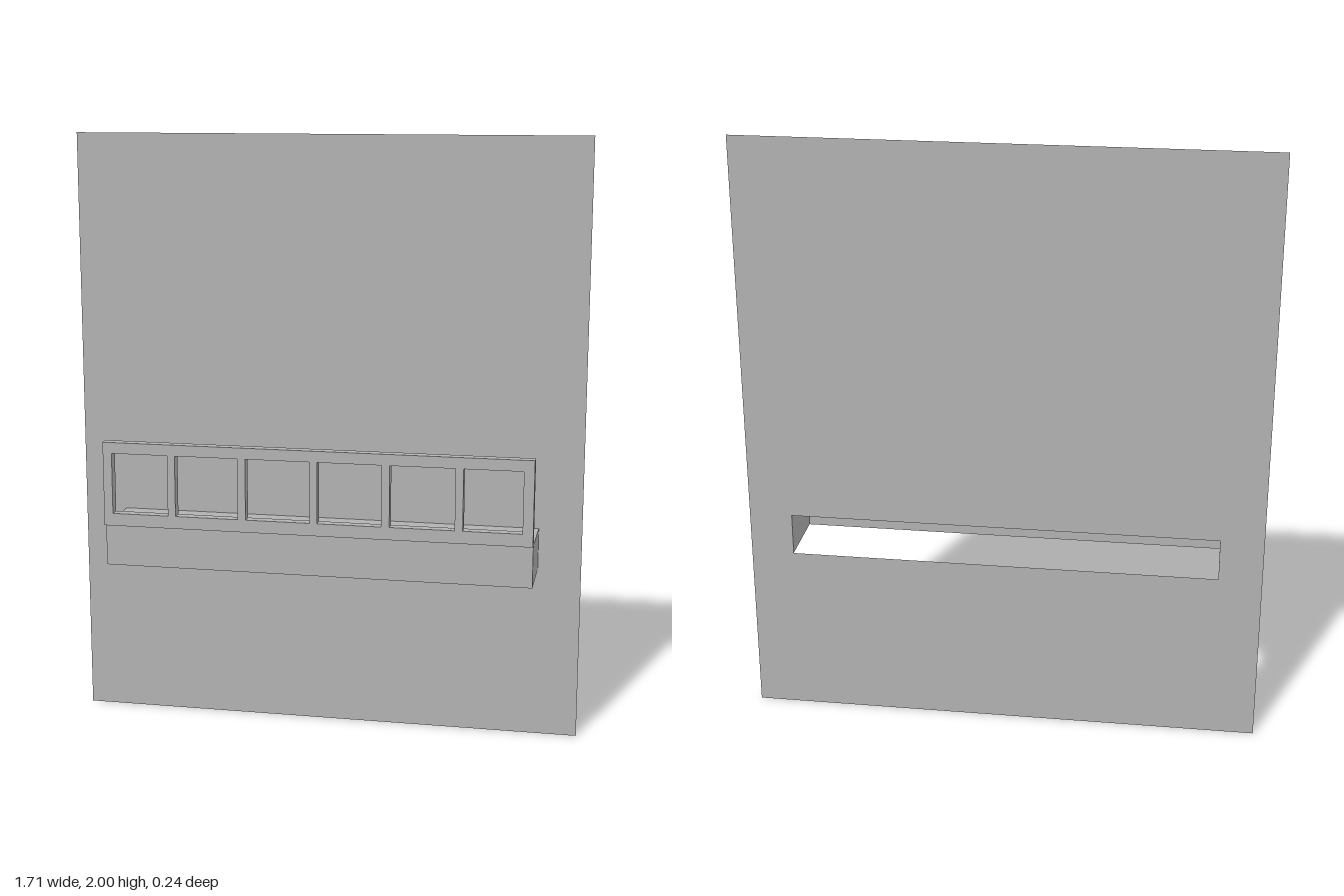
import * as THREE from 'three';

const WALL_Z = -0.121;
const HALF = 0.712;          // half width of balcony
const BOX_BOTTOM = 0.577, BOX_TOP = 0.717, BOX_FRONT = 0.104;

function rectPoints(x0, y0, x1, y1) {
  return [[x0, y0], [x1, y0], [x1, y1], [x0, y1]].map(([x, y]) => new THREE.Vector2(x, y));
}

// Rectangle with rectangular openings, each given as [x0, y0, x1, y1]
function panelShape(outer, holes) {
  const shape = new THREE.Shape(rectPoints(...outer));
  for (const hole of holes) shape.holes.push(new THREE.Path(rectPoints(...hole).reverse()));
  return shape;
}

export function createModel() {
  const model = new THREE.Group();
  model.name = 'wallWithBalcony';
  const grey = new THREE.MeshStandardMaterial({ color: 0xb2b2b2, side: THREE.DoubleSide });
  grey.name = 'plain grey';

  const add = (name, geometry, x, y, z, parent = model) => {
    const mesh = new THREE.Mesh(geometry, grey);
    mesh.name = name;
    mesh.position.set(x, y, z);
    parent.add(mesh);
    return mesh;
  };

  // Thin wall, open behind the balcony
  const wall = panelShape([-0.855, 0, 0.855, 2], [[-HALF, BOX_BOTTOM, HALF, BOX_TOP]]);
  add('wall', new THREE.ShapeGeometry(wall), 0, 0, WALL_Z);

  // Balcony shell: thin sheets, open at the back and underneath
  const shell = new THREE.Group();
  shell.name = 'balconyShell';
  model.add(shell);
  const height = BOX_TOP - BOX_BOTTOM, depth = BOX_FRONT - WALL_Z;
  const midY = (BOX_TOP + BOX_BOTTOM) / 2, midZ = (BOX_FRONT + WALL_Z) / 2;
  add('balconyFront', new THREE.PlaneGeometry(2 * HALF, height), 0, midY, BOX_FRONT, shell);
  add('balconyTop', new THREE.PlaneGeometry(2 * HALF, depth).rotateX(-Math.PI / 2), 0, BOX_TOP, midZ, shell);
  for (const [name, s] of [['balconyLeftEnd', 1], ['balconyRightEnd', -1]]) {
    add(name, new THREE.PlaneGeometry(depth, height).rotateY(s * Math.PI / 2), s * HALF, midY, midZ, shell);
  }

  // Parapet with six openings; the end openings are narrower
  const spans = [
    [-0.682, -0.492], [-0.466, -0.254], [-0.228, -0.013],
    [0.011, 0.223], [0.249, 0.461], [0.487, 0.678],
  ];
  const parapet = panelShape([-HALF, 0.717, HALF, 1.0], spans.map(([a, b]) => [a, 0.759, b, 0.963]));
  add('parapet', new THREE.ExtrudeGeometry(parapet, { depth: 0.035, bevelEnabled: false }), 0, 0, 0.086);

  return model;
}
